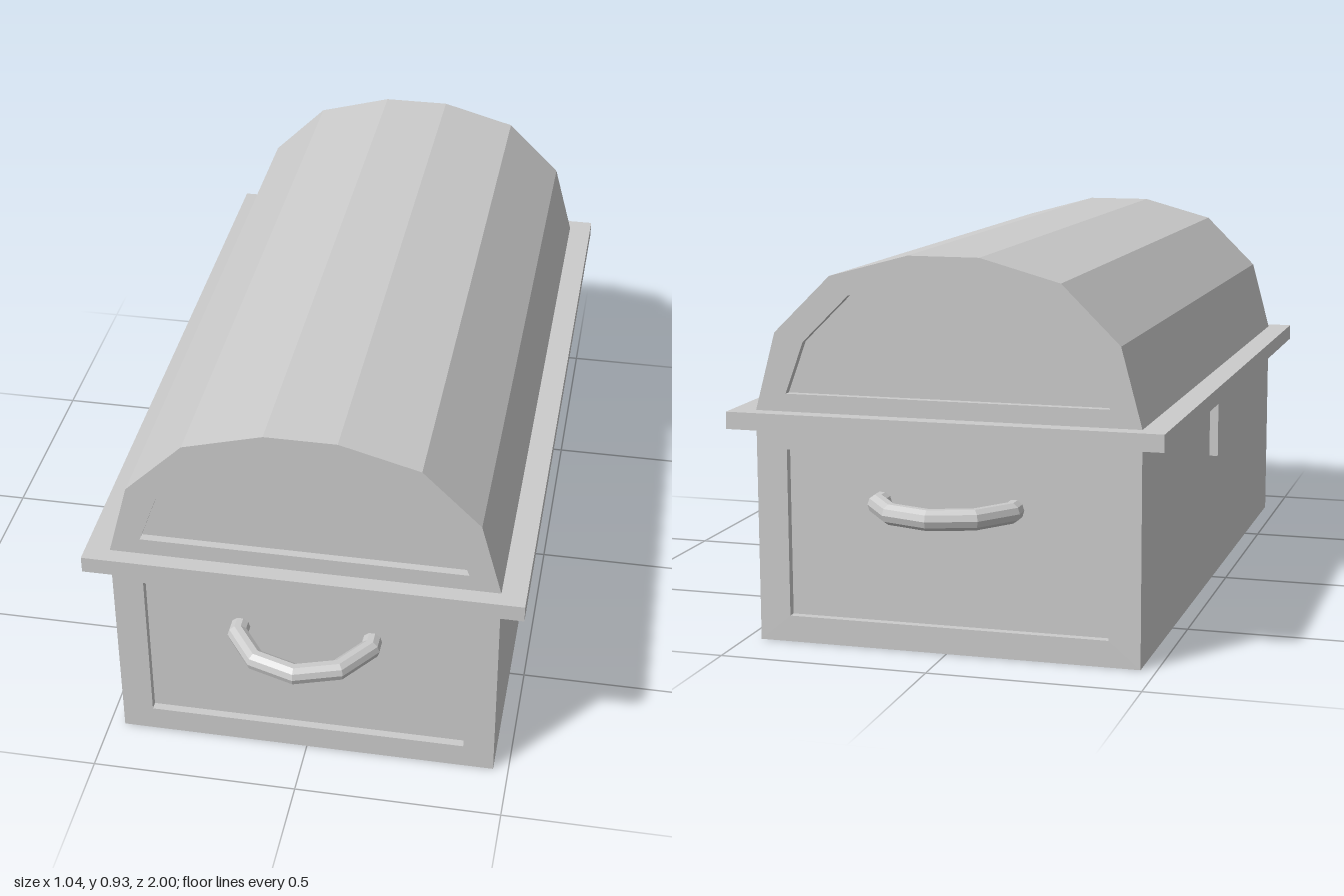
import * as THREE from 'three';

const material = new THREE.MeshStandardMaterial({ color: 0xcccccc, flatShading: true });
const HALF_LENGTH = 0.85;
const RECESS = 0.02;

function addMesh(parent, name, geometry, x = 0, y = 0, z = 0) {
  const mesh = new THREE.Mesh(geometry, material);
  mesh.name = name;
  mesh.position.set(x, y, z);
  parent.add(mesh);
  return mesh;
}

// Closed outline from its right half, listed bottom to top
function mirrored(half) {
  const left = half.map(([x, y]) => [-x, y]).reverse();
  return [...half, ...left].map(([x, y]) => new THREE.Vector2(x, y));
}

// Prism along z, with a framed recessed panel at each end
function addPaneledPrism(parent, name, outline, panel) {
  const group = new THREE.Group();
  group.name = name;
  const coreHalf = HALF_LENGTH - RECESS;
  const core = new THREE.ExtrudeGeometry(new THREE.Shape(outline), { depth: coreHalf * 2, bevelEnabled: false });
  addMesh(group, name + 'Core', core, 0, 0, -coreHalf);

  const frameShape = new THREE.Shape(outline);
  frameShape.holes.push(new THREE.Path(panel));
  const frame = new THREE.ExtrudeGeometry(frameShape, { depth: RECESS, bevelEnabled: false });
  addMesh(group, name + 'FrontFrame', frame, 0, 0, coreHalf);
  addMesh(group, name + 'BackFrame', frame, 0, 0, -HALF_LENGTH);
  parent.add(group);
}

export function createModel() {
  const chest = new THREE.Group();
  chest.name = 'chest';

  // Box body
  addPaneledPrism(chest, 'body',
    mirrored([[0.463, 0], [0.463, 0.514]]),
    mirrored([[0.388, 0.063], [0.388, 0.465]]));

  // Rim between body and lid
  addMesh(chest, 'rim', new THREE.BoxGeometry(1.044, 0.041, 1.78), 0, 0.5345, 0);

  // Faceted barrel lid
  addPaneledPrism(chest, 'lid',
    mirrored([[0.463, 0.555], [0.413, 0.74], [0.275, 0.876], [0.085, 0.928]]),
    mirrored([[0.388, 0.597], [0.343, 0.72], [0.23, 0.832], [0.075, 0.874]]));

  // Latch plate hanging from the rim
  addMesh(chest, 'latch', new THREE.BoxGeometry(0.04, 0.18, 0.12), -0.465, 0.43, 0);

  // Ring handles, partly sunk into the end panels
  const ring = new THREE.TorusGeometry(0.168, 0.025, 10, 6, Math.PI * 1.2);
  ring.rotateZ(-Math.PI * 0.1).rotateX(Math.PI / 2);
  addMesh(chest, 'frontHandle', ring, 0, 0.349, 0.807);
  addMesh(chest, 'backHandle', ring, 0, 0.349, -0.807).rotation.y = Math.PI;

  return chest;
}
